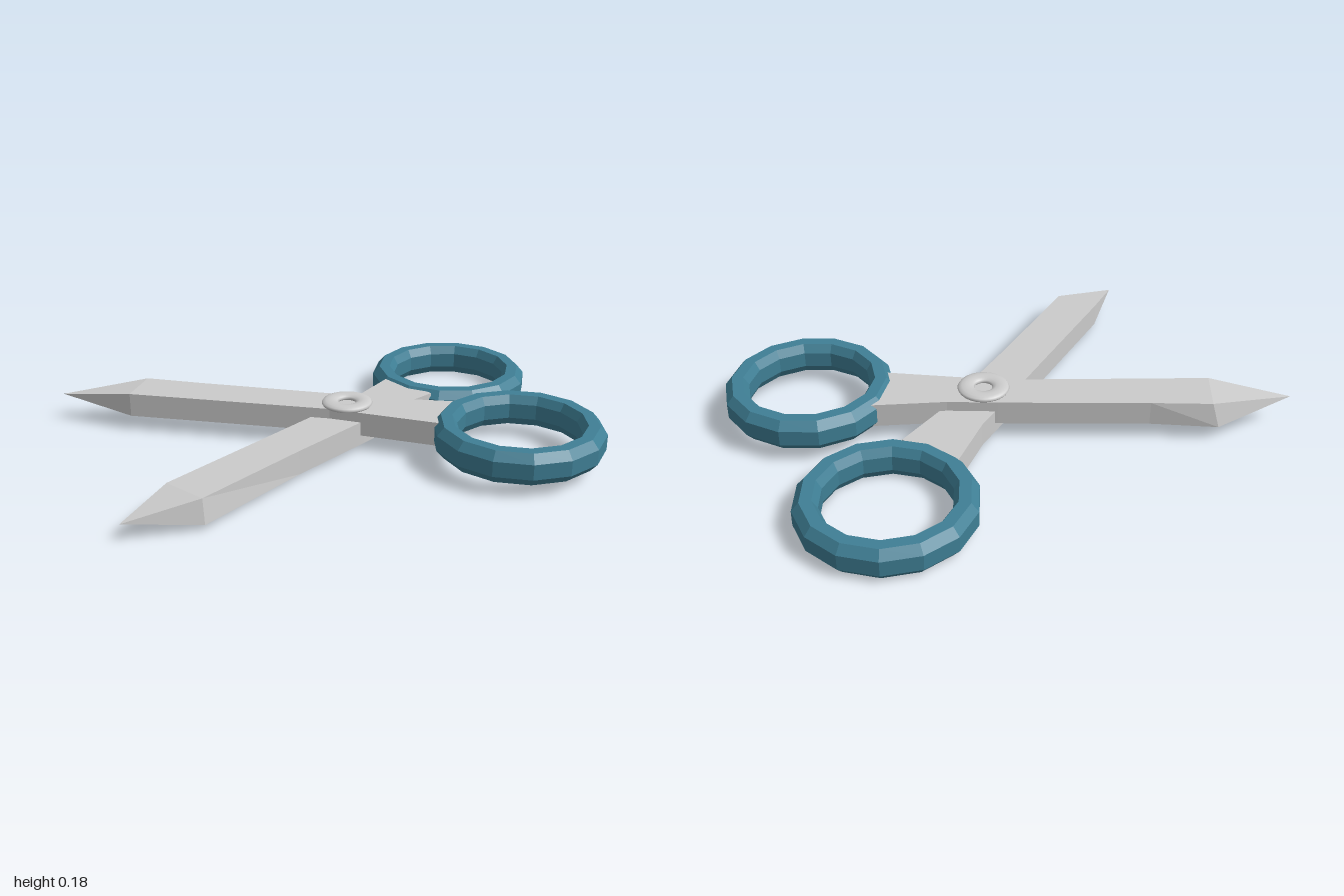
import * as THREE from 'three';

const steel = new THREE.MeshStandardMaterial({ color: 0xcccccc, flatShading: true });
const smoothSteel = new THREE.MeshStandardMaterial({ color: 0xcccccc });
const grip = new THREE.MeshStandardMaterial({ color: 0x3f7f95, flatShading: true });

// Blade with handle shank: a pointed tip followed by four-cornered cross-sections.
// Each section is [backX, backZ, frontX, frontZ] plus optional bottom corners in the same order.
function blade(name, tip, sections, bottom, top) {
  const mid = (bottom + top) / 2;
  const rings = [Array(4).fill([tip[0], mid, tip[1]])];
  for (const s of sections) {
    const low = s.length > 4 ? s.slice(4) : s;
    rings.push([
      [s[0], top, s[1]], [s[2], top, s[3]],
      [low[2], bottom, low[3]], [low[0], bottom, low[1]],
    ]);
  }
  const pos = [];
  const tri = (a, b, c) => pos.push(...a, ...b, ...c);
  for (let i = 0; i < rings.length - 1; i++) {
    for (let k = 0; k < 4; k++) {
      const n = (k + 1) % 4;
      if (i > 0) tri(rings[i][k], rings[i][n], rings[i + 1][n]);
      tri(rings[i][k], rings[i + 1][n], rings[i + 1][k]);
    }
  }
  const end = rings[rings.length - 1];
  tri(end[3], end[0], end[1]);
  tri(end[3], end[1], end[2]);
  const geo = new THREE.BufferGeometry();
  geo.setAttribute('position', new THREE.Float32BufferAttribute(pos, 3));
  geo.computeVertexNormals();
  const mesh = new THREE.Mesh(geo, steel);
  mesh.name = name;
  return mesh;
}

// Faceted finger ring with a chamfered section
function fingerRing(name, x, y, z, turn) {
  const profile = [
    [0.3, -0.0625], [0.328, -0.03], [0.328, 0.03], [0.3, 0.0625],
    [0.256, 0.0625], [0.236, 0.03], [0.236, -0.03], [0.256, -0.0625], [0.3, -0.0625],
  ].map(([r, h]) => new THREE.Vector2(r, h));
  const mesh = new THREE.Mesh(new THREE.LatheGeometry(profile, 14), grip);
  mesh.position.set(x, y, z);
  mesh.rotation.y = turn;
  mesh.name = name;
  return mesh;
}

export function createModel() {
  const group = new THREE.Group();
  group.name = 'scissors';

  // Lower blade, ground on its front edge
  group.add(blade('lowerBlade', [-1, 0.36], [
    [-0.79, 0.23, -0.72, 0.395, -0.79, 0.23, -0.72, 0.41],
    [-0.35, 0.042, -0.27, 0.2],
    [-0.02, -0.1, 0.07, 0.062],
    [0.16, -0.175, 0.2, 0.005],
    [0.39, -0.31, 0.45, -0.068],
  ], 0.02, 0.115));

  // Upper blade, ground on its back edge
  group.add(blade('upperBlade', [-0.9, -0.76], [
    [-0.57, -0.655, -0.69, -0.52, -0.58, -0.685, -0.69, -0.52],
    [-0.39, -0.505, -0.51, -0.382],
    [0.06, -0.145, -0.04, -0.02],
    [0.21, -0.02, 0.1, 0.12],
    [0.45, 0.14, 0.27, 0.29],
  ], 0.06, 0.155));

  // Finger rings
  group.add(fingerRing('lowerFingerRing', 0.67, 0.0625, -0.29, Math.PI / 2));
  group.add(fingerRing('upperFingerRing', 0.54, 0.1075, 0.43, 0));

  // Flattened pivot washer
  const pivot = new THREE.Mesh(new THREE.TorusGeometry(0.067, 0.033, 12, 32), smoothSteel);
  pivot.name = 'pivot';
  pivot.rotation.x = -Math.PI / 2;
  pivot.scale.z = 0.42;
  pivot.position.set(0.045, 0.163, -0.035);
  group.add(pivot);

  return group;
}
